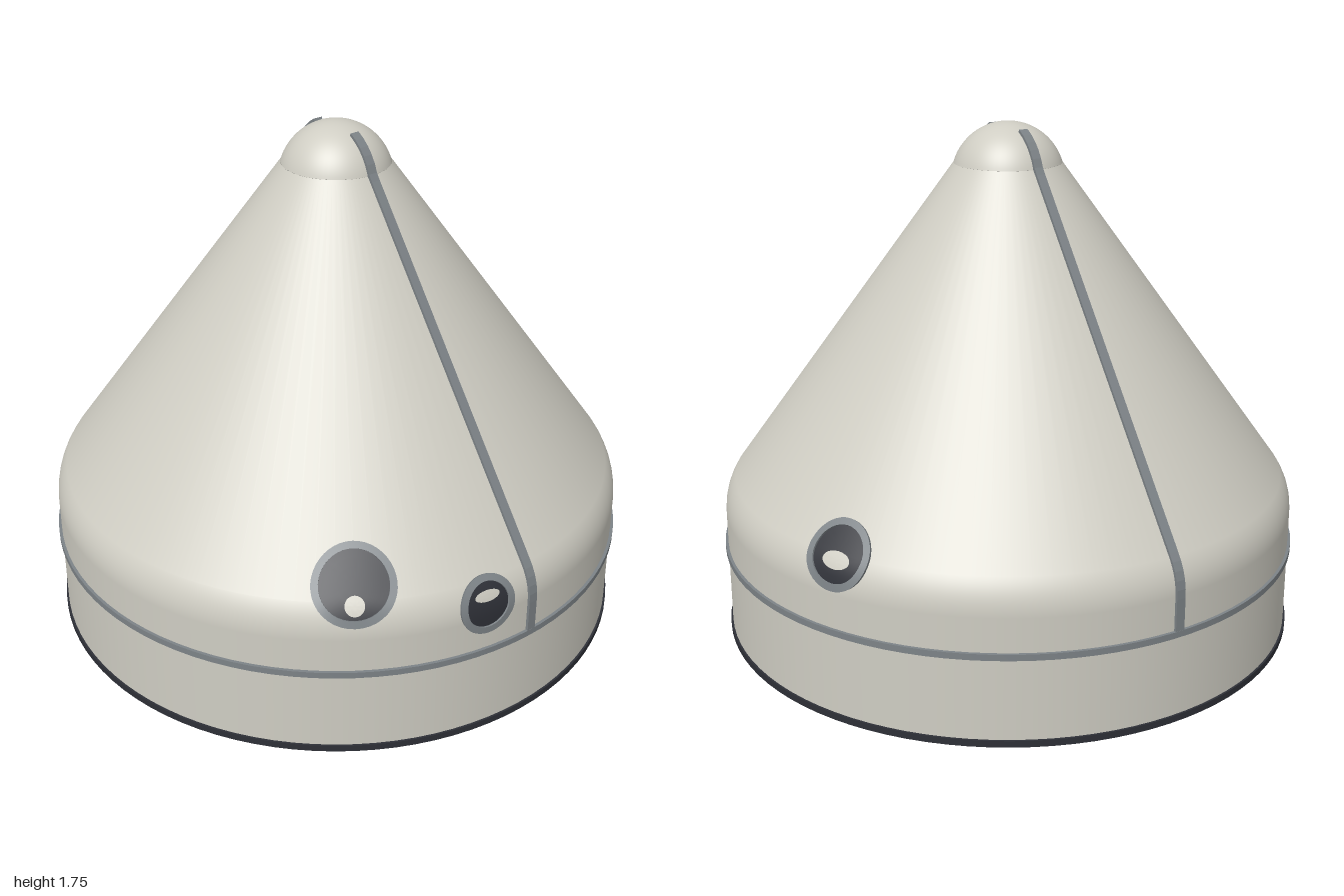
import * as THREE from 'three';
import { toCreasedNormals } from 'three/addons/utils/BufferGeometryUtils.js';

const paint = (name, color, side = THREE.FrontSide) => {
  const m = new THREE.MeshStandardMaterial({ color, side });
  m.name = name;
  return m;
};

export function createModel() {
  const group = new THREE.Group();
  const hull = paint('warm grey hull', 0xcfcdc3, THREE.DoubleSide);
  const trim = paint('steel trim', 0x7d8387);
  const dark = paint('dark fittings', 0x2e3037);

  const add = (name, geometry, material) => {
    const mesh = new THREE.Mesh(geometry, material);
    mesh.name = name;
    group.add(mesh);
    return mesh;
  };
  const lathe = (pts) => new THREE.LatheGeometry(pts.map(([r, y]) => new THREE.Vector2(r, y)), 96);
  const band = (r0, r1, y0, y1) =>
    toCreasedNormals(lathe([[r0, y0], [r1, y0], [r1, y1], [r0, y1], [r0, y0]]), 0.6);

  // Outer profile: skirt, rounded shoulder, cone and domed tip
  const tipAngle = 0.295, tipR = 0.19, tipY = 1.555;
  const body = new THREE.Path().moveTo(0.99, 0.005).lineTo(0.99, 0.43)
    .quadraticCurveTo(0.99, 0.495, 0.953, 0.547).lineTo(0.182, 1.61);
  const tip = new THREE.Path().absarc(0, tipY, tipR, tipAngle, Math.PI / 2, false);
  const profile = new THREE.CurvePath();
  profile.curves.push(...body.curves, ...tip.curves);
  const length = profile.getLength();

  // Point on the profile at parameter t, lifted along its normal
  const at = (t, lift) => {
    const p = profile.getPoint(t), d = profile.getTangent(t);
    return new THREE.Vector2(p.x + d.y * lift, p.y - d.x * lift);
  };
  // Parameter at which the profile reaches height y
  const paramAt = (y) => {
    let lo = 0, hi = 1;
    for (let i = 0; i < 30; i++) {
      const mid = (lo + hi) / 2;
      if (profile.getPoint(mid).y < y) lo = mid; else hi = mid;
    }
    return lo;
  };

  add('shell', new THREE.LatheGeometry(body.getPoints(14), 96), hull);
  add('noseTip', new THREE.LatheGeometry(tip.getPoints(14), 64), hull);

  // Rings round the skirt
  add('baseRing', band(0.972, 0.997, 0, 0.022), dark);
  add('seamRing', band(0.98, 1, 0.295, 0.316), trim);

  // Inner bulkhead: shallow cone pointing down, open in the middle
  add('bulkhead', lathe([[0.355, 0.012], [0.985, 0.288]]), hull);
  add('bulkheadLip', band(0.338, 0.362, 0.003, 0.03), hull);

  // Knobs under the bulkhead rim
  for (let i = 0; i < 4; i++) {
    const a = i * Math.PI / 2 + 0.05;
    add('innerKnob', new THREE.SphereGeometry(0.038, 16, 12), dark)
      .position.set(0.95 * Math.cos(a), 0.25, -0.95 * Math.sin(a));
  }

  // Two raised seams running from the ring to the tip
  const t0 = paramAt(0.31), t1 = paramAt(1.722), steps = 60;
  const top = [], under = [];
  for (let i = 0; i <= steps; i++) {
    const t = t0 + (t1 - t0) * i / steps;
    top.push(at(t, 0.009));
    under.unshift(at(t, -0.006));
  }
  const seam = new THREE.ExtrudeGeometry(new THREE.Shape([...top, ...under]),
    { depth: 0.032, bevelEnabled: false }).translate(0, 0, -0.016);
  const seamAzimuth = Math.atan2(0.93, 0.36);
  for (const turn of [0, Math.PI])
    add('raisedSeam', seam, trim).rotation.y = seamAzimuth - Math.PI / 2 + turn;

  // Round patch that follows the hull; loops are [u radius, v radius, lift], outer to inner
  const patch = (azimuth, y, loops, shift = 0) => {
    const n = 40, pos = [], index = [], tc = paramAt(y), rc = profile.getPoint(tc).x;
    loops.forEach(([ru, rv, lift], j) => {
      for (let i = 0; i < n; i++) {
        const a = i / n * Math.PI * 2;
        const p = at(tc + (shift + rv * Math.sin(a)) / length, lift);
        const az = azimuth + ru * Math.cos(a) / rc;
        pos.push(p.x * Math.sin(az), p.y, p.x * Math.cos(az));
        if (j === 0) continue;
        const k = (i + 1) % n, o = (j - 1) * n, q = j * n;
        index.push(o + i, o + k, q + i, o + k, q + k, q + i);
      }
    });
    const g = new THREE.BufferGeometry();
    g.setAttribute('position', new THREE.Float32BufferAttribute(pos, 3));
    g.setIndex(index);
    return toCreasedNormals(g, 0.6);
  };
  const disc = (ru, rv, lift) => [1, 0.75, 0.5, 0.25, 0.001].map((s) => [ru * s, rv * s, lift]);

  // Portholes: rim, dark opening and the pale interior showing in it
  const portholes = [
    { az: Math.atan2(0.515, 0.775), y: 0.59, r: 0.132, glint: [0.03, 0.032, -0.065] },
    { az: Math.atan2(0.84, 0.51), y: 0.475, r: 0.098, glint: [0.045, 0.018, 0.03] },
    { az: Math.atan2(-0.07, -0.95), y: 0.55, r: 0.114, glint: [0.05, 0.028, -0.02] },
  ];
  for (const { az, y, r, glint: [gu, gv, shift] } of portholes) {
    const i = r - 0.023;
    add('portholeRim', patch(az, y, [[r, r, -0.004], [r, r, 0.009], [i, i, 0.009], [i, i, -0.004]]), trim);
    add('portholeOpening', patch(az, y, disc(i, i, 0.003)), dark);
    add('portholeInterior', patch(az, y, disc(gu, gv, 0.005), shift), hull);
  }

  return group;
}
